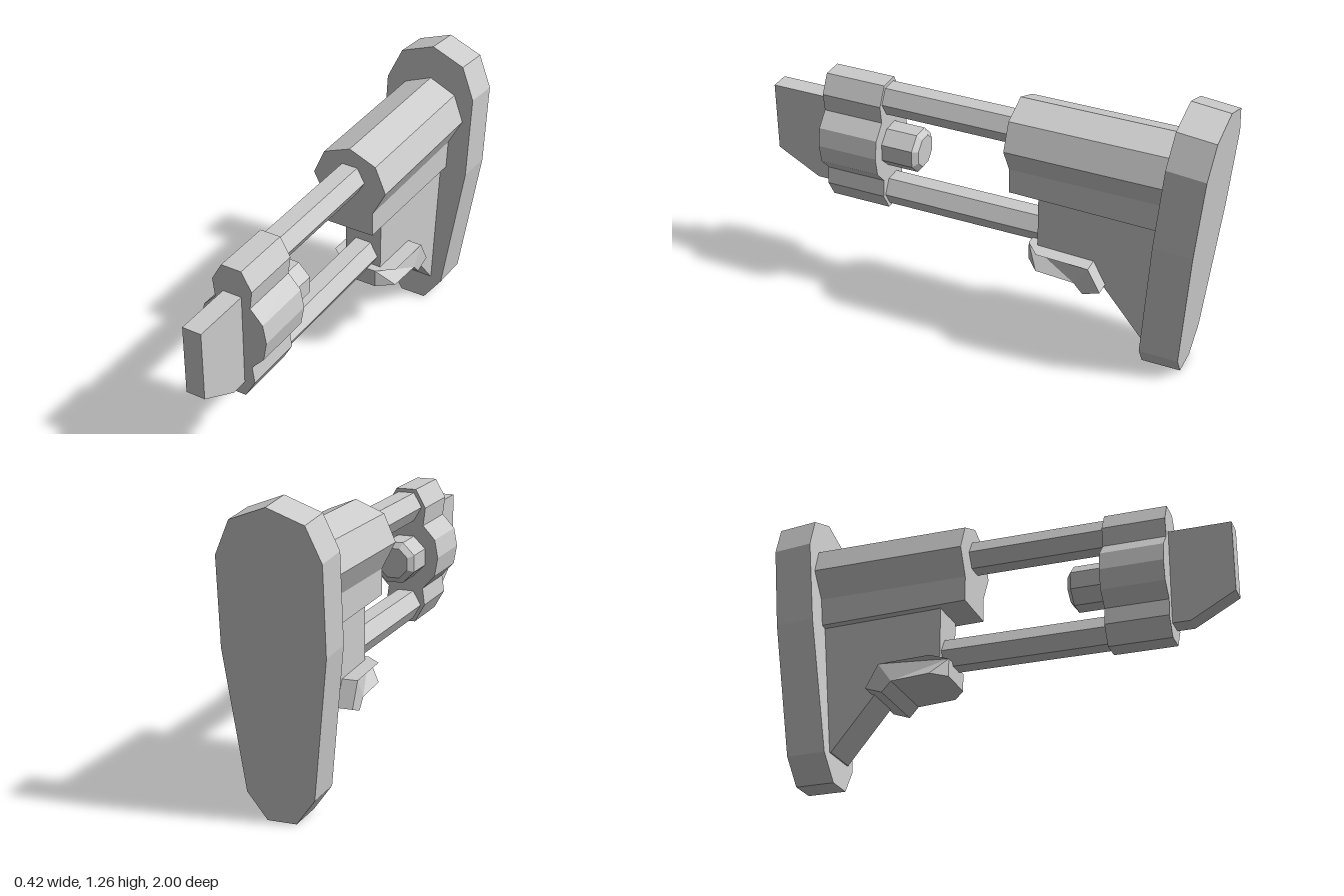
import * as THREE from 'three';

const material = new THREE.MeshStandardMaterial({ color: 0xcccccc, flatShading: true });

function shapeFrom(points) {
  return new THREE.Shape(points.map(([a, b]) => new THREE.Vector2(a, b)));
}

// Mirror a right-half outline (top to bottom) across x = 0
function mirrored(half) {
  const other = half.filter(([x]) => x > 0).map(([x, y]) => [-x, y]).reverse();
  return shapeFrom([...half, ...other]);
}

// Extrude an x/y outline from zBack to zFront
function prismZ(shape, zBack, zFront) {
  const g = new THREE.ExtrudeGeometry(shape, { depth: zFront - zBack, bevelEnabled: false });
  return g.translate(0, 0, zBack);
}

// Extrude a z/y side profile symmetrically across x
function prismX(profile, halfWidth) {
  const g = new THREE.ExtrudeGeometry(shapeFrom(profile), { depth: halfWidth * 2, bevelEnabled: false });
  return g.translate(0, 0, -halfWidth).rotateY(-Math.PI / 2).scale(1, 1, 1);
}

// Move every vertex by a rule
function reshape(geometry, rule) {
  const p = geometry.attributes.position;
  const v = new THREE.Vector3();
  for (let i = 0; i < p.count; i++) {
    rule(v.fromBufferAttribute(p, i));
    p.setXYZ(i, v.x, v.y, v.z);
  }
  geometry.computeVertexNormals();
  return geometry;
}

export function createModel() {
  const model = new THREE.Group();
  const add = (name, geometry) => {
    const mesh = new THREE.Mesh(geometry, material);
    mesh.name = name;
    model.add(mesh);
    return mesh;
  };

  // Tilted shoulder pad, its rear face slightly shorter than the front
  const pad = prismZ(mirrored([
    [0, 1.257], [0.15, 1.2], [0.212, 1.06], [0.212, 0.695], [0.14, 0.11], [0.06, 0],
  ]), 0, 1);
  add('shoulderPad', reshape(pad, (v) => {
    const front = v.z > 0.5;
    v.z = front ? -0.725 - 0.0875 * v.y : -0.895 - 0.0835 * v.y;
    if (!front) v.y *= 0.987;
  }));

  // Upper housing, its underside dropping towards the rear
  const housing = prismZ(mirrored([
    [0, 1.11], [0.122, 1.06], [0.172, 0.945], [0.113, 0.83], [0.113, 0.72], [0, 0.719],
  ]), -0.85, -0.13);
  add('upperHousing', reshape(housing, (v) => {
    if (v.z < -0.5 && v.y < 0.75) v.y -= Math.abs(v.x) < 0.01 ? 0.037 : 0.016;
  }));

  // Lower web below the housing
  add('lowerWeb', prismX([
    [-0.25, 0.76], [-0.25, 0.42], [-0.49, 0.42], [-0.73, 0.125], [-0.8, 0.125], [-0.85, 0.76],
  ], 0.087));

  // Release lever wrapped around the web, chamfered at the nose
  const lever = prismX([
    [-0.21, 0.475], [-0.27, 0.473], [-0.5, 0.465], [-0.555, 0.362],
    [-0.48, 0.335], [-0.44, 0.38], [-0.27, 0.391], [-0.21, 0.395],
  ], 0.153);
  add('releaseLever', reshape(lever, (v) => {
    if (v.z > -0.24) v.x = Math.sign(v.x) * 0.085;
  }));

  // Twin hexagonal rods
  for (const [name, y] of [['upperRod', 0.967], ['lowerRod', 0.523]]) {
    const rod = new THREE.CylinderGeometry(0.072, 0.072, 0.8, 6).rotateY(Math.PI / 2).rotateX(Math.PI / 2);
    add(name, rod).position.set(0, y, 0.1);
  }

  // Front block joining the rods
  add('frontBlock', prismZ(mirrored([
    [0.045, 1.045], [0.09, 0.965], [0.08, 0.885], [0.135, 0.825], [0.15, 0.745],
    [0.135, 0.66], [0.08, 0.6], [0.09, 0.525], [0.045, 0.445],
  ]), 0.465, 0.735));

  // Narrow mounting plate on the front
  add('frontPlate', prismX([
    [1, 0.925], [0.7, 0.925], [0.7, 0.51], [0.81, 0.51], [1, 0.615],
  ], 0.042));

  // Octagonal plug with a bevelled tip behind the block
  const plug = new THREE.LatheGeometry([
    [0, 0.5], [0.097, 0.5], [0.097, 0.325], [0.07, 0.305], [0, 0.305],
  ].reverse().map(([r, z]) => new THREE.Vector2(r, z)), 8, Math.PI / 8);
  add('rearPlug', plug.rotateX(Math.PI / 2)).position.y = 0.745;

  return model;
}
